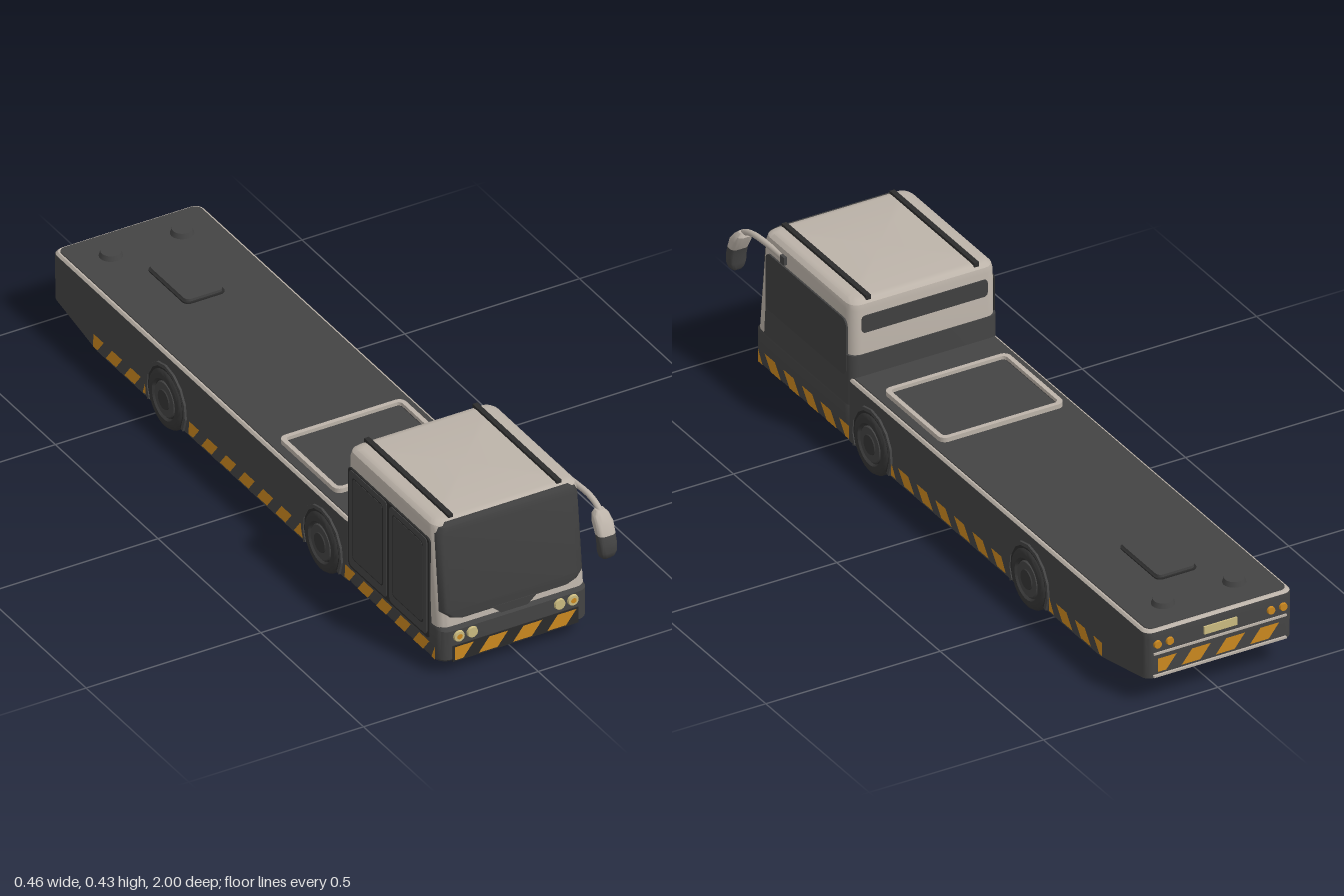
import * as THREE from 'three';
import { toCreasedNormals } from 'three/addons/utils/BufferGeometryUtils.js';

const mat = (name, color, side = THREE.FrontSide) => {
  const m = new THREE.MeshStandardMaterial({ color, side });
  m.name = name;
  return m;
};

// Stack of rounded rectangles; each level is [y, half width, z min, z max, corner radius]
function loft(levels, n = 5) {
  const rings = levels.map(([y, h, z0, z1, r]) => {
    const pts = [];
    [[1, 1], [-1, 1], [-1, -1], [1, -1]].forEach(([sx, sz], q) => {
      for (let i = 0; i <= n; i++) {
        const a = (q + i / n) * Math.PI / 2;
        pts.push([sx * (h - r) + r * Math.cos(a), y, (sz > 0 ? z1 - r : z0 + r) + r * Math.sin(a)]);
      }
    });
    return pts;
  });
  const out = [], tri = (...p) => p.forEach(v => out.push(...v));
  const count = rings[0].length;
  const mid = ([y, , z0, z1]) => [0, y, (z0 + z1) / 2];
  const low = mid(levels[0]), high = mid(levels[levels.length - 1]), top = rings[rings.length - 1];
  for (let i = 0; i < count; i++) {
    const j = (i + 1) % count;
    for (let k = 0; k + 1 < rings.length; k++) {
      const a = rings[k], b = rings[k + 1];
      tri(a[i], b[i], b[j]);
      tri(a[i], b[j], a[j]);
    }
    tri(low, rings[0][i], rings[0][j]);
    tri(high, top[j], top[i]);
  }
  const g = new THREE.BufferGeometry();
  g.setAttribute('position', new THREE.Float32BufferAttribute(out, 3));
  return toCreasedNormals(g, 0.6);
}

// Rounded rectangle centred on the origin
function roundRect(w, h, r, Type = THREE.Shape) {
  const s = new Type(), c = Math.PI / 2;
  s.absarc(w / 2 - r, h / 2 - r, r, 0, c);
  s.absarc(-w / 2 + r, h / 2 - r, r, c, 2 * c);
  s.absarc(-w / 2 + r, -h / 2 + r, r, 2 * c, 3 * c);
  s.absarc(w / 2 - r, -h / 2 + r, r, 3 * c, 4 * c);
  s.closePath();
  return s;
}
const plate = (shape, depth) =>
  new THREE.ExtrudeGeometry(shape, { depth, bevelEnabled: false, curveSegments: 5 });

// Row of slanted hazard stripes, cut off at both ends
function stripes(len, h, period, slant) {
  const shapes = [], w = period * 0.55;
  const clip = u => Math.max(-len / 2, Math.min(len / 2, u));
  for (let u = -len / 2 - period * 0.3; u < len / 2; u += period) {
    const p = [[u, -h / 2], [u + w, -h / 2], [u + w + slant, h / 2], [u + slant, h / 2]]
      .map(([x, y]) => new THREE.Vector2(clip(x), y));
    if (p[1].x - p[0].x + p[2].x - p[3].x > 0.004) shapes.push(new THREE.Shape(p));
  }
  return new THREE.ShapeGeometry(shapes);
}

export function createModel() {
  const dark = mat('dark grey paint', 0x444444);
  const glass = mat('dark glass', 0x404040);
  const black = mat('black trim', 0x2b2b2b);
  const rubber = mat('tyre rubber', 0x363636);
  const beige = mat('warm grey paint', 0xbcb3a9);
  const orange = mat('hazard orange', 0xcb881f, THREE.DoubleSide);
  const yellow = mat('pale lamp yellow', 0xcbbb80);

  const model = new THREE.Group(), body = new THREE.Group();
  model.name = 'towTractor';
  body.name = 'vehicle';
  body.position.x = -0.01;
  model.add(body);
  const add = (name, geo, m, x = 0, y = 0, z = 0, parent = body) => {
    const mesh = new THREE.Mesh(geo, m);
    mesh.name = name;
    mesh.position.set(x, y, z);
    parent.add(mesh);
    return mesh;
  };
  const box = (w, h, d) => new THREE.BoxGeometry(w, h, d);
  const W = 0.212;

  // Chassis with upswept tail, pale rim and flat deck
  add('chassis', loft([[0.035, W, -0.79, 0.46, 0.02], [0.075, W, -0.99, 0.46, 0.025],
    [0.19, W, -0.994, 0.46, 0.025], [0.205, W, -0.992, 0.46, 0.025]]), dark);
  add('deckRim', loft([[0.204, W, -0.992, 0.46, 0.025], [0.211, W - 0.006, -0.986, 0.46, 0.022]]), beige);
  add('deck', loft([[0.205, W - 0.01, -0.982, 0.46, 0.02], [0.2135, W - 0.011, -0.981, 0.46, 0.02]]), dark);

  // Cab: bumper, pale shell, dark lower band and wraparound windshield
  add('bumper', loft([[0.035, W - 0.004, 0.437, 0.895, 0.03], [0.045, W, 0.437, 0.905, 0.03],
    [0.128, W, 0.437, 0.907, 0.03], [0.137, W - 0.003, 0.437, 0.9, 0.03]]), dark);
  add('cabShell', loft([[0.135, W - 0.001, 0.437, 0.898, 0.03], [0.4, W - 0.003, 0.437, 0.871, 0.03],
    [0.415, W - 0.006, 0.44, 0.867, 0.03], [0.424, W - 0.016, 0.45, 0.857, 0.025],
    [0.426, W - 0.03, 0.464, 0.845, 0.02]]), beige);
  add('lowerCabBand', loft([[0.134, W + 0.001, 0.4345, 0.872, 0.025], [0.275, W + 0.001, 0.4345, 0.86, 0.025]]), dark);
  add('windshield', loft([[0.155, 0.165, 0.8, 0.901, 0.02], [0.163, 0.192, 0.8, 0.9, 0.025],
    [0.18, 0.206, 0.8, 0.8985, 0.025], [0.395, 0.205, 0.8, 0.8765, 0.025],
    [0.412, 0.199, 0.8, 0.873, 0.025], [0.421, 0.185, 0.8, 0.866, 0.025]]), glass);
  const notch = new THREE.Shape([[-0.035, 0.132], [0.035, 0.132], [0.065, 0.158], [-0.065, 0.158]]
    .map(p => new THREE.Vector2(...p)));
  add('windshieldNotch', plate(notch, 0.006), glass, 0, 0, 0.896);
  const slot = add('rearWindow', plate(roundRect(0.36, 0.048, 0.01), 0.004), glass, 0, 0.36, 0.438);
  slot.rotation.y = Math.PI;

  // Thin plate facing outward on side s (+1 or -1)
  const onSide = (name, geo, m, s, y, z, out = 0) => {
    const mesh = add(name, geo, m, s * (W + out), y, z);
    mesh.rotation.y = s * Math.PI / 2;
  };
  onSide('sideWindow', plate(roundRect(0.39, 0.16, 0.02), 0.005), glass, 1, 0.293, 0.65, -0.003);
  onSide('doorSurround', plate(roundRect(0.395, 0.29, 0.012), 0.005), black, -1, 0.23, 0.653, -0.003);
  for (const z of [0.555, 0.75]) {
    onSide('door', plate(roundRect(0.182, 0.28, 0.012), 0.005), dark, -1, 0.232, z, -0.001);
    onSide('doorFrame', plate(roundRect(0.15, 0.24, 0.012), 0.002), black, -1, 0.237, z, 0.0032);
    onSide('doorGlass', plate(roundRect(0.144, 0.234, 0.011), 0.002), glass, -1, 0.237, z, 0.004);
  }

  for (const s of [1, -1]) {
    // Roof rail
    add('roofRail', box(0.014, 0.012, 0.41), black, s * 0.155, 0.427, 0.65);
    // Side hazard stripes
    for (const [z0, z1] of [[0.44, 0.88], [-0.32, 0.235], [-0.785, -0.53]])
      onSide('sideStripes', stripes(z1 - z0, 0.038, 0.09, -s * 0.03), orange, s, 0.061, (z0 + z1) / 2, 0.003);

    // Headlights, the outer ones with amber centres
    for (const x of [0.125, 0.163]) {
      const lamp = add('headlight', new THREE.CylinderGeometry(0.014, 0.016, 0.008, 20), yellow, s * x, 0.11, 0.909);
      lamp.rotation.x = Math.PI / 2;
    }
    const amber = add('turnSignal', new THREE.CircleGeometry(0.008, 16), orange, s * 0.163, 0.11, 0.9135);
    amber.scale.set(1, 0.9, 1);
    // Tail lights
    for (const x of [0.145, 0.18]) {
      const lamp = add('tailLight', new THREE.CylinderGeometry(0.01, 0.012, 0.012, 16), orange, s * x, 0.172, -0.994);
      lamp.rotation.x = -Math.PI / 2;
    }
    // Deck caps
    add('deckCap', new THREE.CylinderGeometry(0.026, 0.031, 0.016, 24), dark, s * 0.102, 0.219, -0.89);

    // Wheels and arches
    for (const z of [0.33, -0.43]) {
      const a = 0.5, arch = new THREE.Shape();
      arch.absarc(0, 0, 0.098, -a, Math.PI + a, false);
      arch.absarc(0, 0, 0.088, Math.PI + a, -a, true);
      onSide('wheelArch', plate(arch, 0.006), dark, s, 0.083, z);
      const well = new THREE.Shape();
      well.absarc(0, 0, 0.09, -a, Math.PI + a, false);
      onSide('wheelWell', plate(well, 0.003), black, s, 0.083, z);
      const wheel = new THREE.Group();
      wheel.name = 'wheel';
      wheel.position.set(s * 0.222, 0.083, z);
      wheel.rotation.z = -s * Math.PI / 2;
      body.add(wheel);
      const tyre = [[0, -0.066], [0.07, -0.066], [0.083, -0.055], [0.083, -0.012], [0.077, -0.003],
        [0.07, 0], [0.056, 0], [0.052, -0.007], [0, -0.007]].map(p => new THREE.Vector2(...p));
      add('tyre', toCreasedNormals(new THREE.LatheGeometry(tyre, 36), 0.6), rubber, 0, 0, 0, wheel);
      add('rim', new THREE.CylinderGeometry(0.046, 0.05, 0.008, 28), dark, 0, -0.006, 0, wheel);
      add('hub', new THREE.CylinderGeometry(0.026, 0.029, 0.008, 24), rubber, 0, -0.003, 0, wheel);
    }
  }
  // Underbody plates between the wheels
  for (const z of [0.33, -0.43]) add('axlePlate', box(0.28, 0.006, 0.2), black, 0, 0.034, z);

  // Front and rear hazard stripes, rear trim and plate
  add('frontStripeBed', box(0.36, 0.046, 0.004), black, 0, 0.061, 0.9055);
  add('frontStripes', stripes(0.35, 0.038, 0.098, 0.03), orange, 0.0, 0.061, 0.9085);
  const rearStripes = add('rearStripes', stripes(0.36, 0.038, 0.098, 0.03), orange, 0, 0.112, -0.996);
  rearStripes.rotation.y = Math.PI;
  for (const y of [0.145, 0.081]) add('rearTrim', box(0.38, 0.006, 0.006), beige, 0, y, -0.993);
  add('rearPlate', box(0.095, 0.022, 0.006), yellow, 0, 0.172, -0.995);

  // Deck hatch with pale frame, and small access panel
  const flat = (name, geo, m, y, z) => { add(name, geo, m, 0, y, z).rotation.x = -Math.PI / 2; };
  const frame = roundRect(0.355, 0.285, 0.02);
  frame.holes.push(roundRect(0.33, 0.26, 0.012, THREE.Path));
  flat('hatchFrame', plate(frame, 0.015), beige, 0.211, 0.195);
  flat('hatchSeam', plate(roundRect(0.332, 0.262, 0.012), 0.004), black, 0.212, 0.195);
  flat('hatchPanel', plate(roundRect(0.32, 0.25, 0.012), 0.009), dark, 0.211, 0.195);
  flat('accessPanelBase', plate(roundRect(0.118, 0.193, 0.017), 0.006), black, 0.211, -0.695);
  flat('accessPanel', plate(roundRect(0.108, 0.183, 0.014), 0.013), dark, 0.211, -0.695);

  // Wing mirror on a curved arm
  const path = new THREE.CatmullRomCurve3([[0.207, 0.392, 0.755], [0.212, 0.397, 0.84], [0.216, 0.394, 0.905],
    [0.217, 0.378, 0.945], [0.217, 0.35, 0.968]].map(p => new THREE.Vector3(...p)));
  add('mirrorArm', new THREE.TubeGeometry(path, 24, 0.008, 10), beige);
  add('mirrorMount', box(0.014, 0.022, 0.02), dark, 0.21, 0.392, 0.76);
  add('mirrorCap', loft([[0.325, 0.025, 0.956, 0.992, 0.014], [0.352, 0.025, 0.94, 0.982, 0.014],
    [0.37, 0.021, 0.932, 0.968, 0.014], [0.381, 0.012, 0.936, 0.955, 0.008]]), beige, 0.217);
  add('mirrorHead', loft([[0.258, 0.013, 0.972, 0.988, 0.007], [0.266, 0.021, 0.967, 0.996, 0.013],
    [0.28, 0.025, 0.965, 1.0, 0.014], [0.305, 0.025, 0.962, 0.998, 0.014],
    [0.325, 0.025, 0.956, 0.992, 0.014]]), dark, 0.217);
  return model;
}
